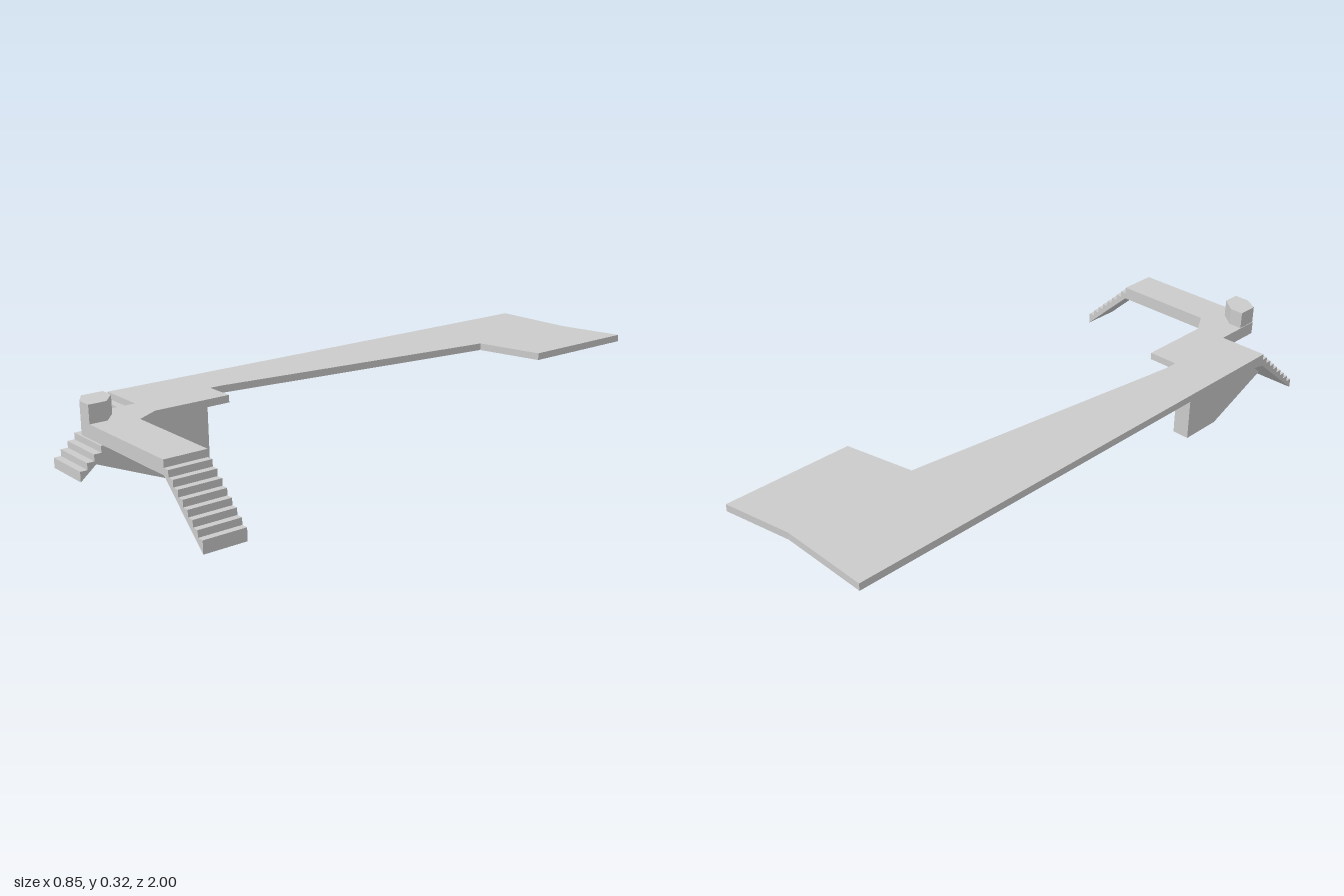
import * as THREE from 'three';

const TOP = 0.267;
const material = new THREE.MeshStandardMaterial({ color: 0xcccccc, flatShading: true });

const extrude = (points, depth) => new THREE.ExtrudeGeometry(
  new THREE.Shape(points.map(([a, b]) => new THREE.Vector2(a, b))),
  { depth, bevelEnabled: false });

// Outline in (x, z), hanging down from the given top height
const planSlab = (points, top, depth) =>
  extrude(points, depth).rotateX(Math.PI / 2).translate(0, top, 0);

// Outline in (z, y), spanning x0..x1
const sideSlab = (points, x0, x1) =>
  extrude(points, x1 - x0).rotateY(-Math.PI / 2).translate(x1, 0, 0);

// Stepped profile running from `start` to `end`, with a straight sloping underside
function stairProfile(start, end, top, drop, steps, bottomStart, bottomEnd) {
  const run = (end - start) / steps;
  const points = [[start, bottomStart], [end, bottomEnd]];
  for (let i = steps; i >= 1; i--) {
    const y = top - drop * i;
    points.push([start + run * i, y], [start + run * (i - 1), y]);
  }
  return points;
}

export function createModel() {
  const model = new THREE.Group();
  const add = (name, geometry) => {
    const mesh = new THREE.Mesh(geometry, material);
    mesh.name = name;
    model.add(mesh);
  };

  // Long tapering deck with the wide rear platform
  add('deck', planSlab([
    [-0.425, -0.955], [-0.12, -0.955], [0.11, -1], [0.11, -0.57], [-0.125, -0.52],
    [-0.255, 0.49], [-0.255, 0.533], [-0.15, 0.533], [-0.15, 0.69], [-0.425, 0.69],
  ], TOP, 0.024));

  // Front walkway: its underside thickens toward the bend
  const walkway = planSlab([
    [-0.425, 0.69], [-0.15, 0.69], [-0.15, 0.79], [-0.105, 0.865], [0.25, 0.865],
    [0.25, 1], [-0.205, 1], [-0.255, 0.97], [-0.255, 0.797], [-0.425, 0.797],
  ], TOP, 0.024);
  const pos = walkway.attributes.position;
  for (let i = 0; i < pos.count; i++) {
    if (pos.getY(i) < 0.25 && pos.getZ(i) > 0.75) pos.setY(i, 0.223);
  }
  walkway.computeVertexNormals();
  add('walkway', walkway);

  // Side stairs at the end of the walkway
  add('sideStairs', extrude(
    stairProfile(0.25, 0.425, 0.265, 0.021, 8, 0.223, 0.058), 0.135).translate(0, 0, 0.865));

  // Front stairs
  add('frontStairs', sideSlab(
    stairProfile(0.797, 0.99, TOP, 0.0215, 8, 0.223, 0.062), -0.425, -0.255));

  // Bollard on the walkway corner
  add('cornerPost', planSlab([
    [-0.253, 0.9], [-0.205, 0.9], [-0.152, 0.943], [-0.152, 1], [-0.205, 1], [-0.253, 0.97],
  ], 0.325, 0.065));

  // Wedge-shaped pier below the deck and stairs
  add('pier', sideSlab([
    [0.54, 0], [0.69, 0], [0.94, 0.106], [0.8, 0.223], [0.69, 0.245], [0.54, 0.245],
  ], -0.325, -0.265));

  return model;
}
